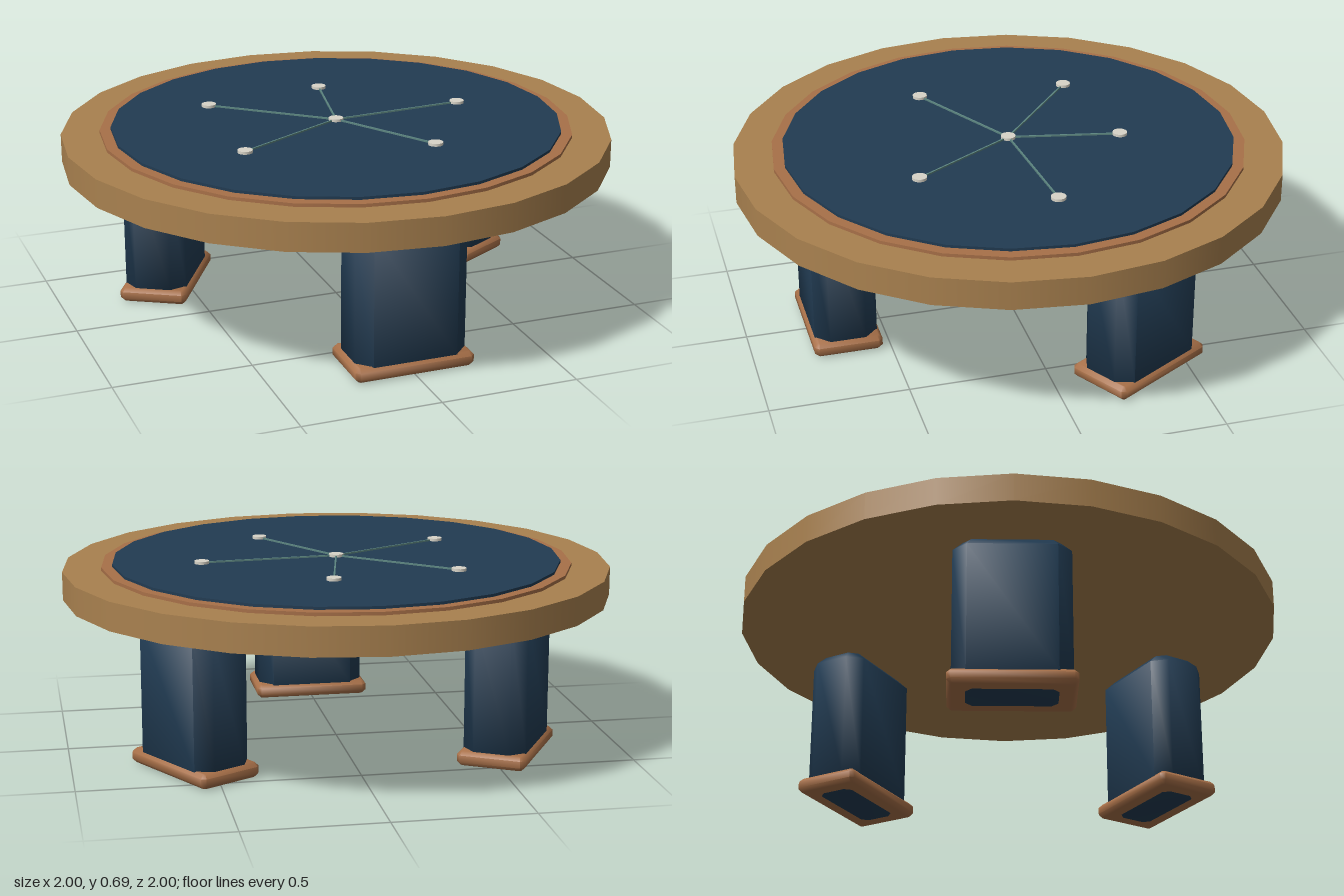
import * as THREE from 'three';
import { toCreasedNormals } from 'three/addons/utils/BufferGeometryUtils.js';

const paint = (color) => new THREE.MeshStandardMaterial({ color });
const wood = paint(0xa9814f);
const copper = paint(0xa87048);
const navy = paint(0x213b52);
const ivory = paint(0xd8d4c8);
const teal = paint(0x5c8580);

function add(parent, name, geometry, material, x = 0, y = 0, z = 0) {
  const mesh = new THREE.Mesh(geometry, material);
  mesh.name = name;
  mesh.position.set(x, y, z);
  parent.add(mesh);
  return mesh;
}

// Upright disc standing from y0 to y1
function disc(parent, name, radius, y0, y1, material, x = 0, z = 0, sides = 24) {
  const geometry = new THREE.CylinderGeometry(radius, radius, y1 - y0, sides);
  return add(parent, name, geometry, material, x, (y0 + y1) / 2, z);
}

// Block with every edge chamfered by c, standing on y = 0
function chamferedBlock(w, h, d, c) {
  const x = w / 2 - c, y = d / 2 - c, k = c * (Math.SQRT2 - 1);
  const outline = [
    [x, -y + k], [x, y - k], [x - k, y], [-x + k, y],
    [-x, y - k], [-x, -y + k], [-x + k, -y], [x - k, -y],
  ].map(([px, py]) => new THREE.Vector2(px, py));
  const geometry = new THREE.ExtrudeGeometry(new THREE.Shape(outline), {
    depth: h - 2 * c, bevelEnabled: true, bevelSegments: 1, bevelSize: c, bevelThickness: c,
  });
  geometry.translate(0, 0, c);
  geometry.rotateX(-Math.PI / 2);
  return toCreasedNormals(geometry, Math.PI / 3);
}

export function createModel() {
  const table = new THREE.Group();
  table.name = 'roundTable';

  // Top: wooden slab, copper band, dark inlay
  disc(table, 'tableTop', 1, 0.56, 0.663, wood);
  disc(table, 'inlayBand', 0.86, 0.65, 0.675, copper);
  disc(table, 'inlayPanel', 0.82, 0.66, 0.685, navy);

  // Star pattern: a hub with studs joined by thin lines
  const pattern = new THREE.Group();
  pattern.name = 'starPattern';
  table.add(pattern);
  disc(pattern, 'hubStud', 0.027, 0.68, 0.695, ivory, 0, 0, 16);
  const studs = [[0.5, -0.04], [0.08, -0.4], [-0.385, -0.325], [-0.425, 0.23], [0.23, 0.385]];
  for (const [x, z] of studs) {
    disc(pattern, 'stud', 0.027, 0.68, 0.695, ivory, x, z, 16);
    const line = new THREE.BoxGeometry(Math.hypot(x, z), 0.01, 0.006);
    add(pattern, 'line', line, teal, x / 2, 0.686, z / 2).rotation.y = Math.atan2(-z, x);
  }

  // Three legs on feet, evenly spaced with one at the front
  const legShape = chamferedBlock(0.41, 0.575, 0.23, 0.05);
  const footShape = chamferedBlock(0.44, 0.053, 0.25, 0.014);
  for (let i = 0; i < 3; i++) {
    const support = new THREE.Group();
    support.name = 'legAssembly';
    support.rotation.y = (i * Math.PI * 2) / 3;
    add(support, 'leg', legShape, navy, 0, 0, 0.657);
    add(support, 'foot', footShape, copper, 0, 0.002, 0.657);
    table.add(support);
  }
  return table;
}
